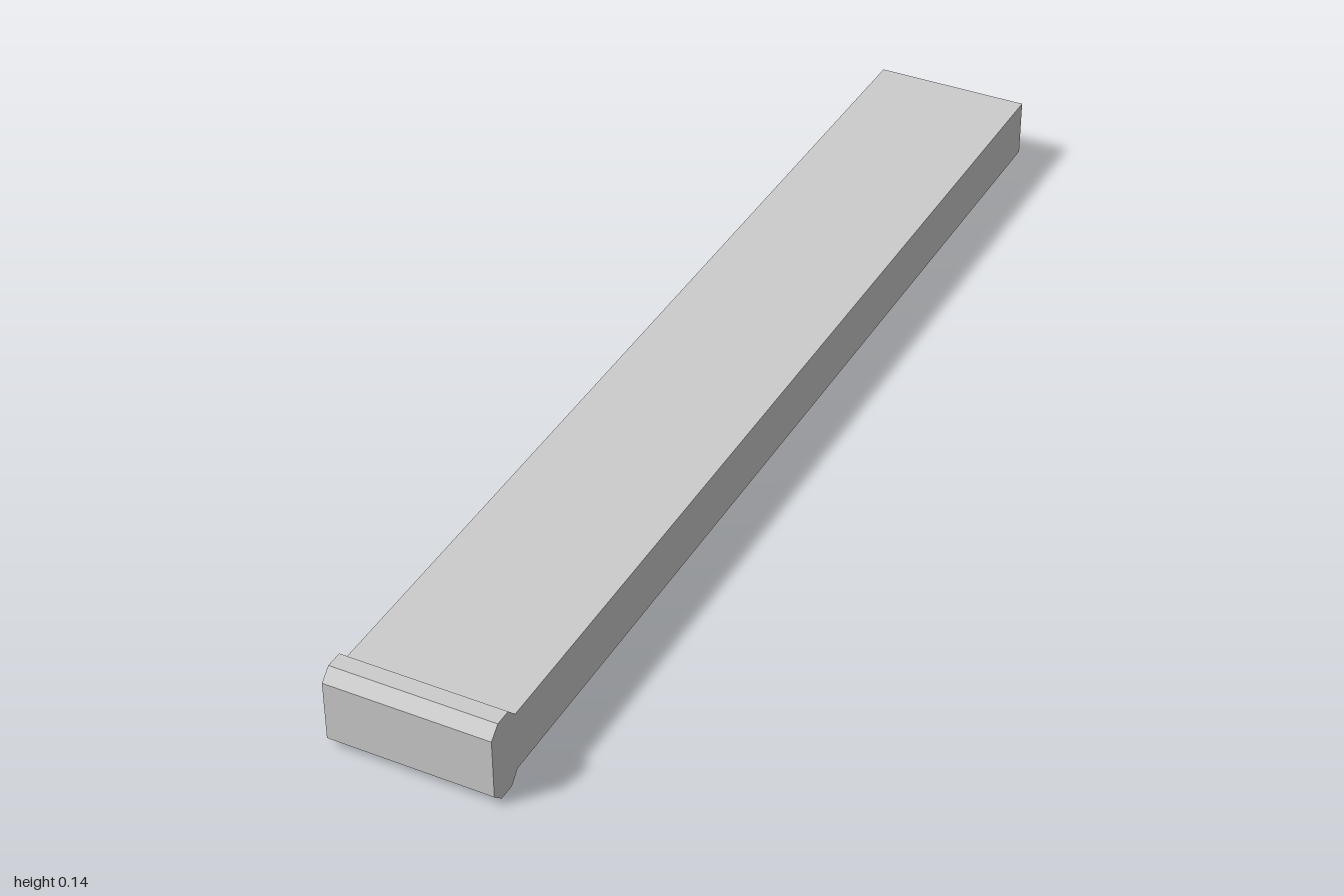
import * as THREE from 'three';

export function createModel() {
  const group = new THREE.Group();
  group.name = 'bar';
  const width = 0.286;
  const midY = 0.0725;

  // Upper half of the side profile as [z, height above the middle], back to front
  const upper = [
    [-1, 0.0525],
    [0.931, 0.0525],  // start of the raised lip
    [0.95, 0.0725],
    [0.98, 0.0725],
    [1, 0.0535],
  ];
  const lower = upper.map(([z, h]) => [z, -h]);
  const outline = [...lower, ...upper.slice().reverse()];
  const shape = new THREE.Shape(outline.map(([z, h]) => new THREE.Vector2(z, midY + h)));

  // Bar with a chamfered lip at the front end, extruded across its width
  const geometry = new THREE.ExtrudeGeometry(shape, { depth: width, bevelEnabled: false });
  geometry.translate(0, 0, -width / 2);
  geometry.rotateY(-Math.PI / 2);

  const material = new THREE.MeshStandardMaterial({ color: 0xcccccc, flatShading: true });
  const bar = new THREE.Mesh(geometry, material);
  bar.name = 'lippedBar';
  group.add(bar);
  return group;
}
